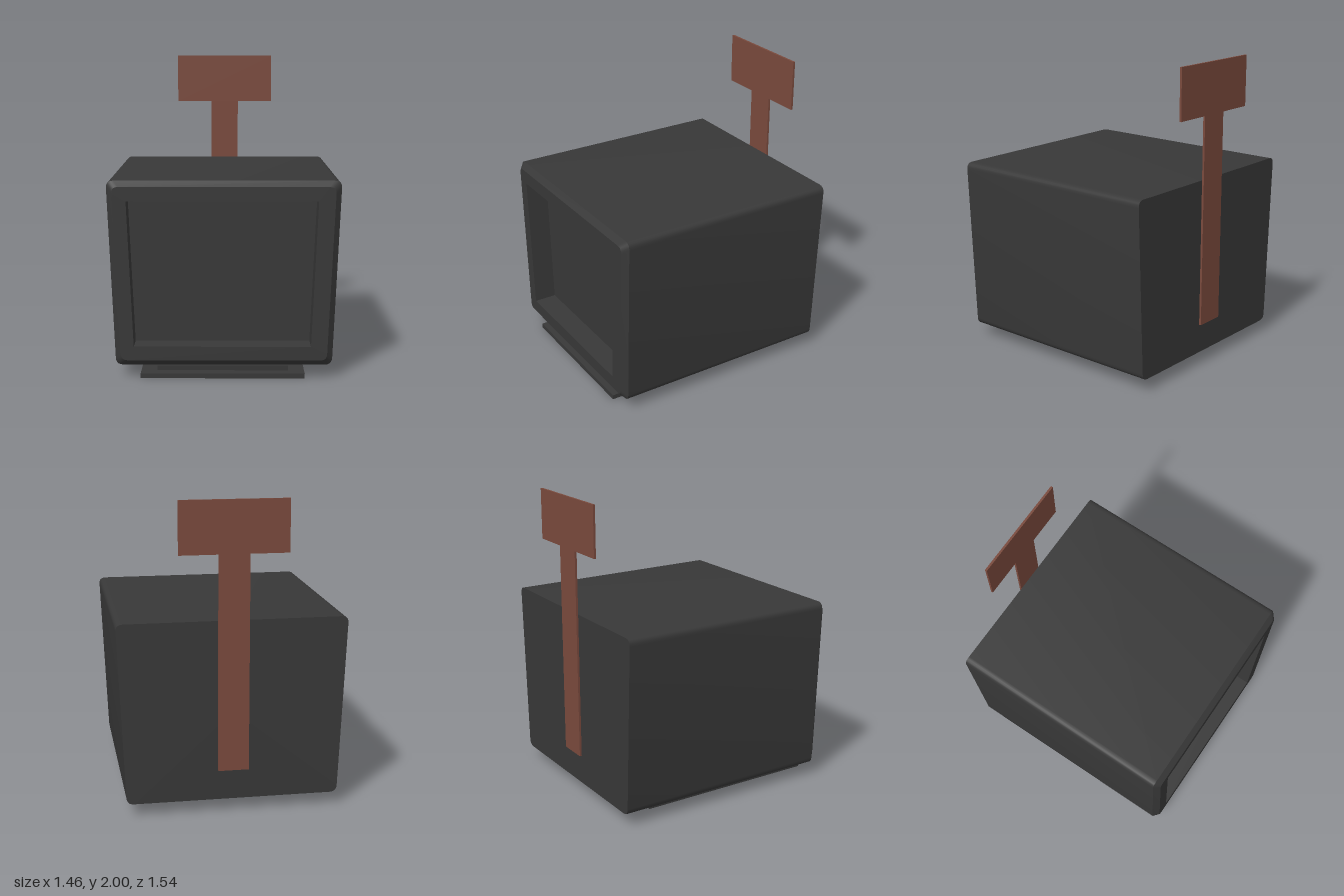
import * as THREE from 'three';
import { toCreasedNormals } from 'three/addons/utils/BufferGeometryUtils.js';

const STEPS = 5; // segments per rounded corner

// Counter-clockwise rounded trapezoid; r = 0 gives sharp corners with the same point count
function trapezoid(bottomHalf, topHalf, y0, y1, r, z, cx = 0) {
  const c = [[-bottomHalf, y0], [bottomHalf, y0], [topHalf, y1], [-topHalf, y1]]
    .map(([x, y]) => new THREE.Vector3(x + cx, y, z));
  const points = [];
  c.forEach((p, i) => {
    const toward = (q) => q.clone().sub(p).setLength(r).add(p);
    const curve = new THREE.QuadraticBezierCurve3(toward(c[(i + 3) % 4]), p, toward(c[(i + 1) % 4]));
    points.push(...curve.getPoints(STEPS));
  });
  return points;
}

// Skin a series of loops and close both ends
function loft(loops) {
  const positions = [];
  const tri = new THREE.Triangle();
  const add = (a, b, c) => {
    if (tri.set(a, b, c).getArea() > 1e-8) for (const p of [a, b, c]) positions.push(p.x, p.y, p.z);
  };
  const center = (loop) => loop.reduce((s, p) => s.add(p), new THREE.Vector3()).divideScalar(loop.length);
  const n = loops[0].length, first = loops[0], last = loops[loops.length - 1];
  const start = center(first), end = center(last);
  for (let i = 0; i < n; i++) {
    const j = (i + 1) % n;
    for (let k = 0; k + 1 < loops.length; k++) {
      const a = loops[k], b = loops[k + 1];
      add(a[i], a[j], b[j]);
      add(a[i], b[j], b[i]);
    }
    add(start, first[j], first[i]);
    add(end, last[i], last[j]);
  }
  const geometry = new THREE.BufferGeometry();
  geometry.setAttribute('position', new THREE.Float32BufferAttribute(positions, 3));
  return toCreasedNormals(geometry, 0.5);
}

export function createModel() {
  const group = new THREE.Group();
  const dark = new THREE.MeshStandardMaterial({ color: 0x383838 });
  const brown = new THREE.MeshStandardMaterial({ color: 0x7a4a3d });

  const addMesh = (name, geometry, material) => {
    const mesh = new THREE.Mesh(geometry, material);
    mesh.name = name;
    group.add(mesh);
    return mesh;
  };

  // Tapered casing: back, chamfered front rim, then the recessed screen
  addMesh('casing', loft([
    trapezoid(0.68, 0.73, 0.085, 1.253, 0.045, -0.752),
    trapezoid(0.68, 0.73, 0.085, 1.253, 0.045, 0.732),
    trapezoid(0.645, 0.693, 0.122, 1.218, 0.04, 0.768),
    trapezoid(0.555, 0.595, 0.21, 1.128, 0, 0.768, -0.01),
    trapezoid(0.555, 0.595, 0.21, 1.128, 0, 0.618, -0.01),
  ]), dark);

  // Two thin stacked plates under the casing
  const plates = [
    ['upperBasePlate', 0.826, 1.175, 0.042, 0.127],
    ['lowerBasePlate', 1.034, 1.243, 0, 0.127],
  ];
  for (const [name, width, depth, y, z] of plates) {
    addMesh(name, new THREE.BoxGeometry(width, 0.031, depth), dark).position.set(-0.008, y + 0.0155, z);
  }

  // T-shaped sign on the back
  const half = [[0.098, 0.28], [0.098, 1.667], [0.344, 1.667], [0.344, 2]];
  const outline = [...half, ...half.map(([x, y]) => [-x, y]).reverse()];
  const shape = new THREE.Shape(outline.map(([x, y]) => new THREE.Vector2(x, y)));
  const sign = new THREE.ExtrudeGeometry(shape, { depth: 0.014, bevelEnabled: false });
  addMesh('backSign', sign, brown).position.z = -0.767;

  return group;
}
